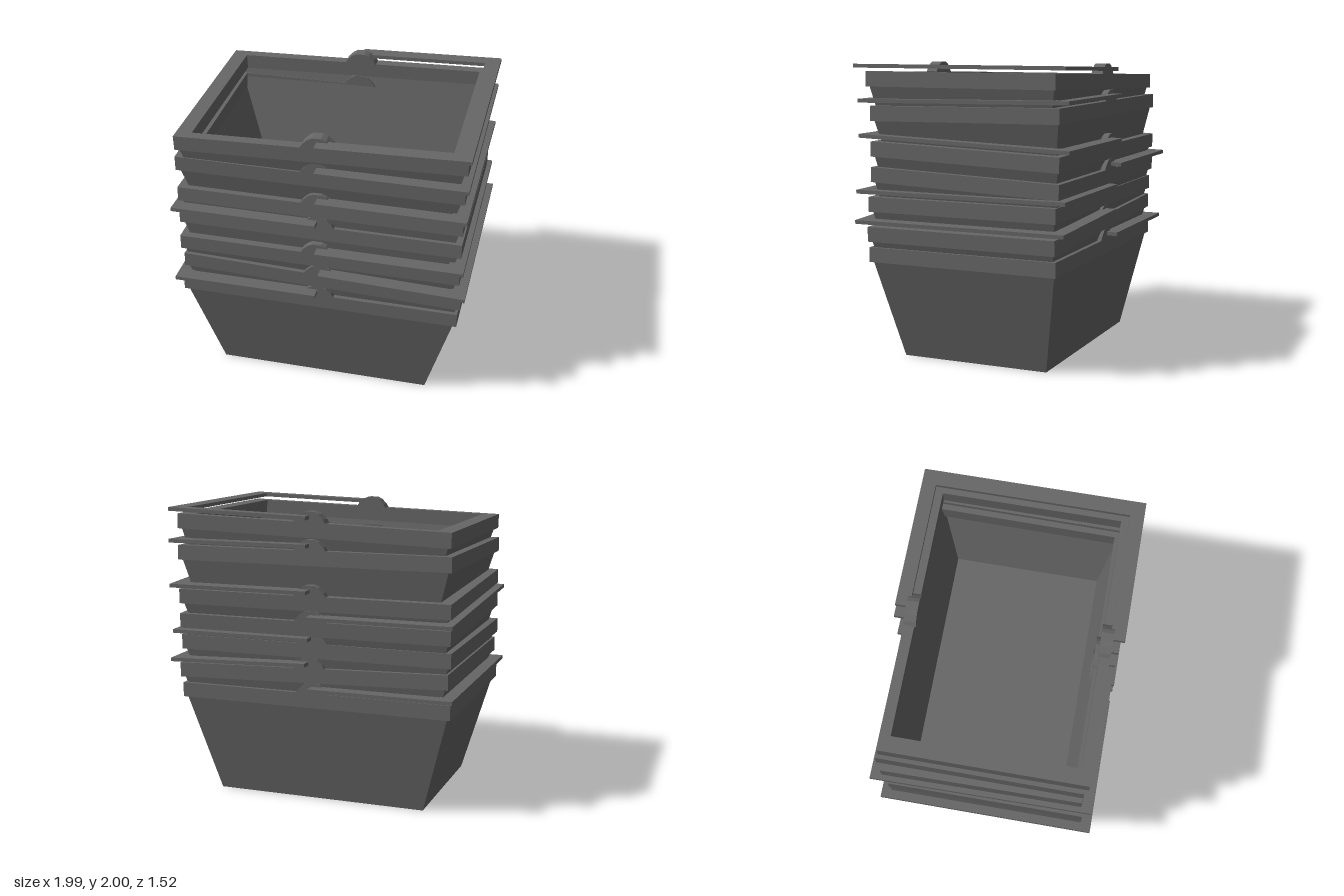
import * as THREE from 'three';

const plastic = new THREE.MeshStandardMaterial({ color: 0x666666 });
plastic.name = 'grey plastic';

// Lofts rectangular loops [halfX, halfZ, y] into a flat-sided surface
function loftRects(loops) {
  const corners = [[1, 1], [1, -1], [-1, -1], [-1, 1]];
  const at = ([hx, hz, y], j) => [corners[j % 4][0] * hx, y, corners[j % 4][1] * hz];
  const pos = [];
  for (let i = 0; i < loops.length - 1; i++) {
    for (let j = 0; j < 4; j++) {
      const a = at(loops[i], j), b = at(loops[i], j + 1);
      const c = at(loops[i + 1], j + 1), d = at(loops[i + 1], j);
      if (loops[i][0] > 0) pos.push(...a, ...b, ...c);
      if (loops[i + 1][0] > 0) pos.push(...a, ...c, ...d);
    }
  }
  const g = new THREE.BufferGeometry();
  g.setAttribute('position', new THREE.Float32BufferAttribute(pos, 3));
  // last triangles at the inner floor centre
  g.computeVertexNormals();
  return g;
}

const polygon = (pts) => new THREE.Shape(pts.map(([x, y]) => new THREE.Vector2(x, y)));
const rect = (x, y) => [[-x, -y], [x, -y], [x, y], [-x, y]];

// Extrudes a plan-view shape upward from height y
function slab(shape, y, height) {
  const g = new THREE.ExtrudeGeometry(shape, { depth: height, bevelEnabled: false });
  g.rotateX(-Math.PI / 2);
  g.translate(0, y, 0);
  return g;
}

// Geometry shared by all baskets; the origin is the centre of the rim top
function basketParts() {
  const tub = loftRects([
    [0, 0, -0.78], [0.74, 0.522, -0.78], [0.93, 0.652, -0.1],
    [0.917, 0.64, -0.1], [0.727, 0.508, -0.765], [0, 0, -0.765],
  ]);

  const rimShape = polygon(rect(0.955, 0.67));
  rimShape.holes.push(polygon(rect(0.85, 0.6)));
  const rim = slab(rimShape, -0.1, 0.1);

  // U-shaped handle folded down to one side
  const handle = (s) => slab(polygon([
    [0, -0.745], [0.985, -0.745], [0.985, 0.745], [0, 0.745],
    [0, 0.65], [0.88, 0.65], [0.88, -0.65], [0, -0.65],
  ].map(([x, y]) => [s * x, y])), 0.022, 0.025);

  const hinge = new THREE.ExtrudeGeometry(polygon([
    [-0.115, -0.005], [0.115, -0.005], [0.095, 0.025], [0.06, 0.058],
    [0.03, 0.072], [-0.03, 0.072], [-0.06, 0.058], [-0.095, 0.025],
  ]), { depth: 0.08, bevelEnabled: false });
  hinge.translate(0, 0, -0.04);

  return { tub, rim, hinge, handles: { '-1': handle(-1), '1': handle(1) } };
}

function add(parent, name, geometry) {
  const mesh = new THREE.Mesh(geometry, plastic);
  mesh.name = name;
  parent.add(mesh);
  return mesh;
}

export function createModel() {
  const model = new THREE.Group();
  model.name = 'basketStack';
  const parts = basketParts();

  // Rim centre, tilt and handle side of each basket, bottom to top
  const stack = [
    { x: -0.015, y: 0.78, z: 0.015, side: -1 },
    { x: 0.005, y: 0.95, z: 0.015, rz: -0.031, side: 1 },
    { x: -0.015, y: 1.12, z: 0.015, side: 1 },
    { x: -0.015, y: 1.295, z: -0.008, rx: -0.0375, side: -1 },
    { x: -0.015, y: 1.465, z: -0.01, rx: -0.0375, side: 1 },
    { x: -0.015, y: 1.732, z: -0.008, rx: 0.012, side: 1 },
    { x: -0.005, y: 1.92, z: 0.015, rz: 0.032, side: 1 },
  ];

  stack.forEach(({ x, y, z, rx = 0, rz = 0, side }, i) => {
    const basket = new THREE.Group();
    basket.name = `basket${i + 1}`;
    basket.position.set(x, y, z);
    basket.rotation.set(rx, 0, rz);
    add(basket, 'tub', parts.tub);
    add(basket, 'rim', parts.rim);
    add(basket, 'handle', parts.handles[side]);
    add(basket, 'frontHinge', parts.hinge).position.z = 0.63;
    add(basket, 'backHinge', parts.hinge).position.z = -0.63;
    model.add(basket);
  });

  return model;
}
